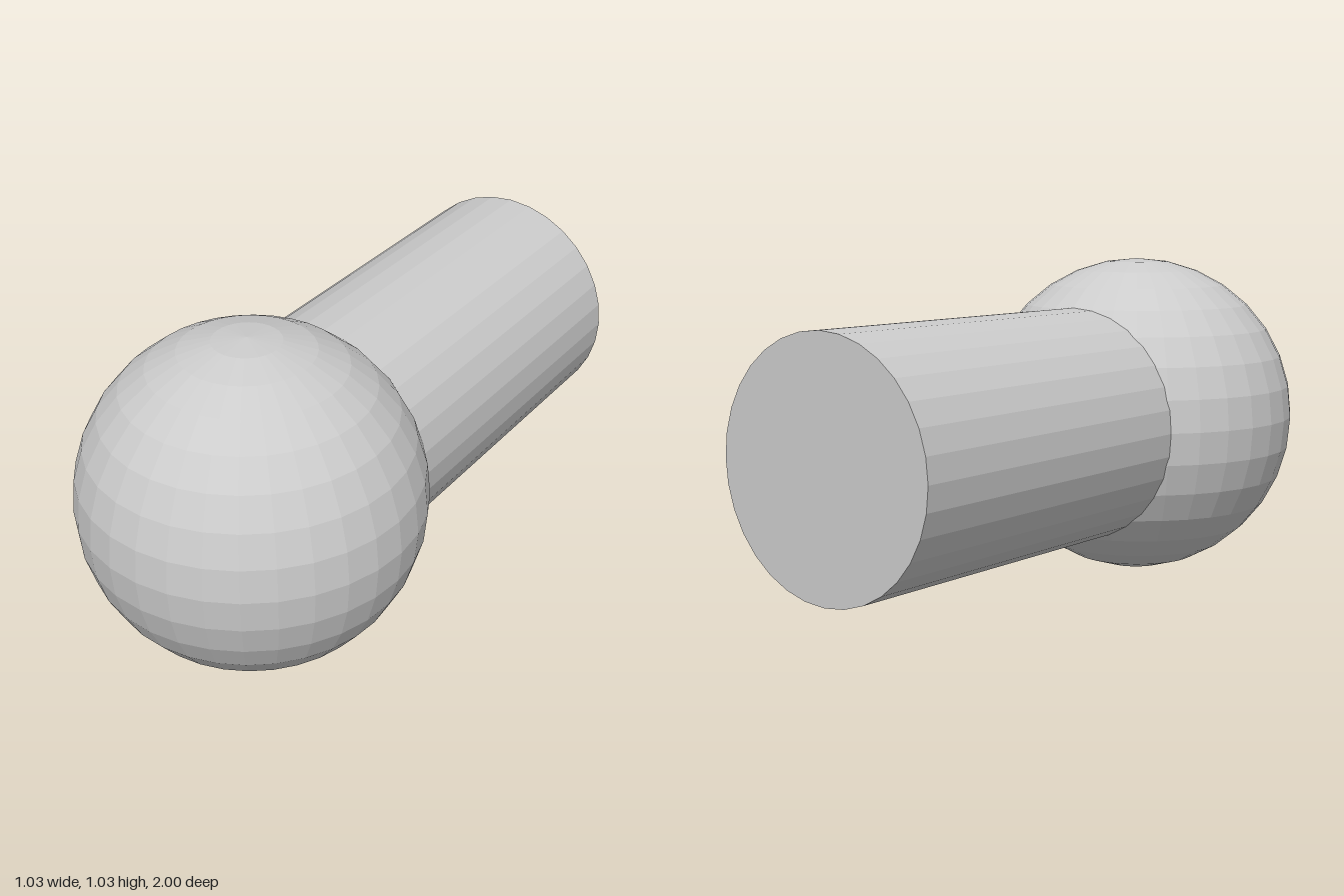
import * as THREE from 'three';

export function createModel() {
  const group = new THREE.Group();
  const material = new THREE.MeshStandardMaterial({ color: 0xcccccc, flatShading: true });
  const radius = 0.517, centerY = 0.519, centerZ = 1 - radius;

  // Faceted ball at the front
  const ball = new THREE.Mesh(new THREE.SphereGeometry(radius, 32, 16), material);
  ball.name = 'ball';
  ball.position.set(0, centerY, centerZ);
  group.add(ball);

  // Cylindrical shank running from just inside the ball to the back
  const shankFront = 0.2, shankBack = -1;
  const shank = new THREE.Mesh(
    new THREE.CylinderGeometry(0.37, 0.37, shankFront - shankBack, 32).rotateX(Math.PI / 2),
    material
  );
  shank.name = 'shank';
  shank.position.set(0, centerY, (shankFront + shankBack) / 2);
  group.add(shank);

  return group;
}
